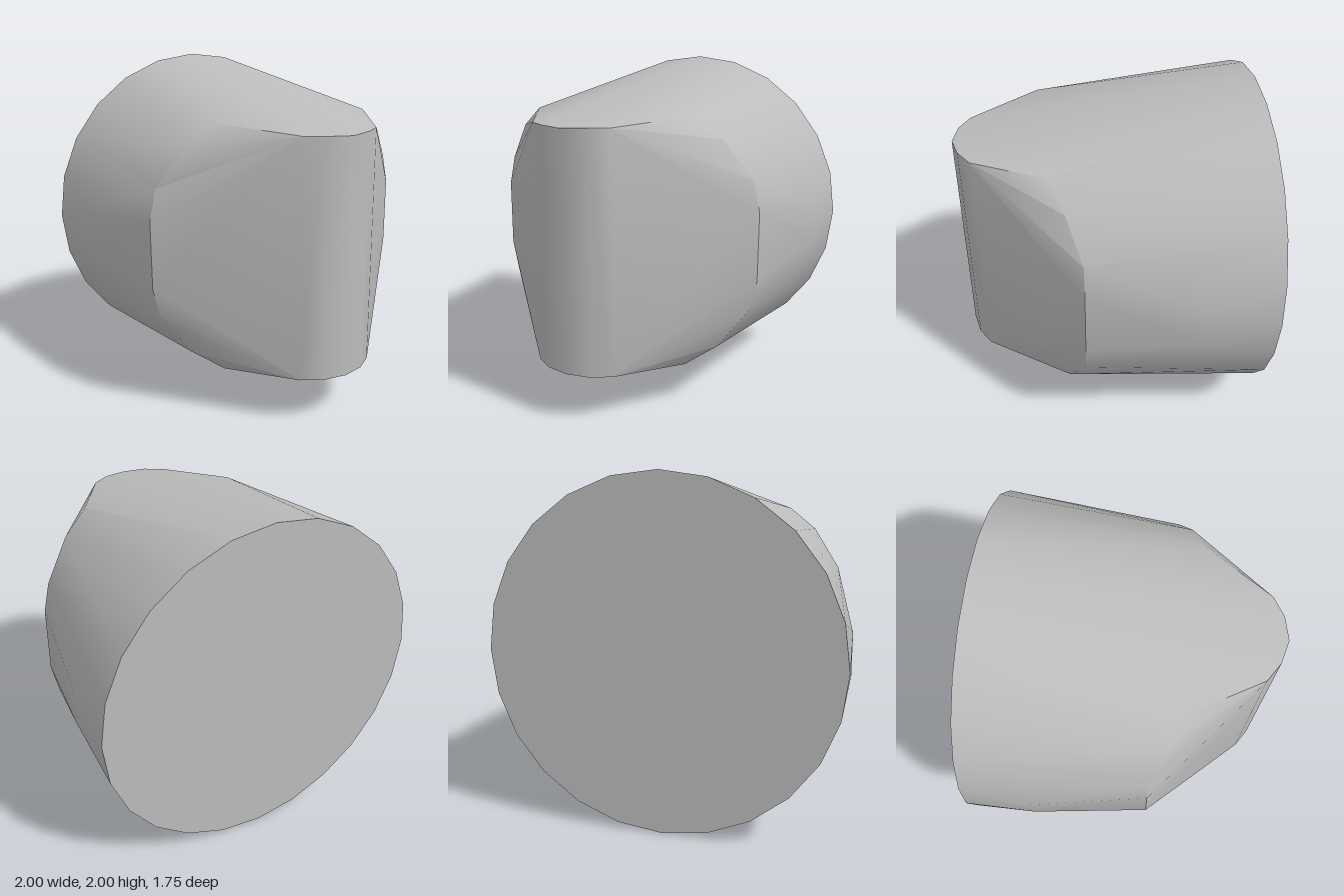
import * as THREE from 'three';
import { ConvexGeometry } from 'three/addons/geometries/ConvexGeometry.js';
import { toCreasedNormals } from 'three/addons/utils/BufferGeometryUtils.js';

export function createModel() {
  const group = new THREE.Group();
  const grey = new THREE.MeshStandardMaterial({ color: 0xbcbcbc });
  grey.name = 'plain grey';

  const points = [];
  const add = (x, y, z) => points.push(new THREE.Vector3(x, y + 1, z));

  // round flat back
  const sides = 24;
  for (let i = 0; i < sides; i++) {
    const a = (i / sides) * Math.PI * 2;
    add(Math.cos(a), Math.sin(a), -0.87);
  }

  // one quarter of the tapered front: flank bulge, cheek rim, rounded nose
  const quarter = [
    [0.98, 0.12, -0.47],
    [0.87, 0.2, 0.2], [0.83, 0.38, 0.2], [0.67, 0.61, 0.28], [0.5, 0.73, 0.36],
    [0.25, 0.7, 0.77], [0.14, 0.7, 0.84], [0, 0.695, 0.875],
  ];
  for (const [x, y, z] of quarter) {
    for (const sy of [1, -1]) {
      add(x, y * sy, z);
      if (x > 0) add(-x, y * sy, z);
    }
  }

  // solid wedge-nosed body, smooth round the nose and sharp at the rims
  const body = new THREE.Mesh(toCreasedNormals(new ConvexGeometry(points), 0.55), grey);
  body.name = 'wedgeNosedBody';
  group.add(body);
  return group;
}
